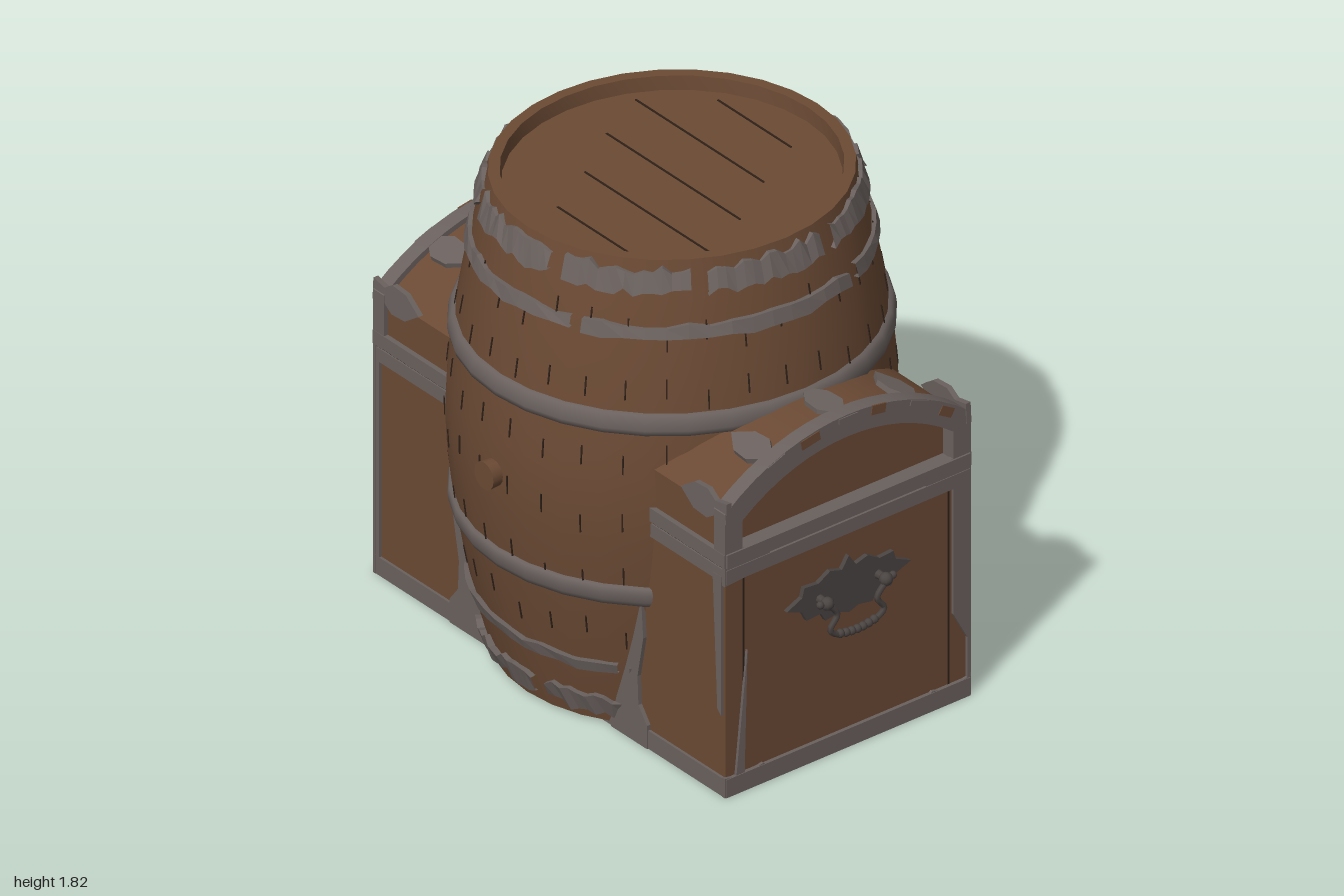
import * as THREE from 'three';
import { toCreasedNormals } from 'three/addons/utils/BufferGeometryUtils.js';

const V2 = (x, y) => new THREE.Vector2(x, y);
const mat = (name, color, side = THREE.FrontSide) => {
  const m = new THREE.MeshStandardMaterial({ color, side });
  m.name = name;
  return m;
};
// Seeded 0..1 value for the worn edges
const hash = (n) => { const s = Math.sin(n * 127.1 + 3.7) * 43758.5453; return s - Math.floor(s); };
// Bulging barrel radius at a height
const radius = (y) => 0.765 - 0.15 * Math.pow(Math.abs(y - 0.92) / 0.92, 1.6);

export function createModel() {
  const wood = mat('brown wood', 0x6b4a34);
  const iron = mat('grey iron', 0x6a615e, THREE.DoubleSide);
  const dark = mat('dark iron', 0x4a4442);
  const seam = mat('dark seam', 0x2e2018);

  const add = (parent, name, geo, material, x = 0, y = 0, z = 0) => {
    const m = new THREE.Mesh(geo, material);
    m.name = name;
    m.position.set(x, y, z);
    parent.add(m);
    return m;
  };
  const box = (parent, name, material, w, h, d, x, y, z) =>
    add(parent, name, new THREE.BoxGeometry(w, h, d), material, x, y, z);
  const plate = (points, depth) =>
    new THREE.ExtrudeGeometry(new THREE.Shape(points.map((p) => V2(...p))), { depth, bevelEnabled: false });

  const model = new THREE.Group();
  model.name = 'barrelAndChest';
  model.position.z = -0.015;

  // ---- Barrel: staves with a raised rim, slightly narrower across x
  const barrel = new THREE.Group();
  barrel.name = 'barrel';
  barrel.scale.x = 0.965;
  model.add(barrel);
  const side = [V2(0, 0.012), V2(0.56, 0.012)];
  for (let i = 0; i <= 14; i++) {
    const y = 0.012 + (1.808 * i) / 14;
    side.push(V2(radius(y), y));
  }
  side.push(V2(0.58, 1.82), V2(0.575, 1.765));
  add(barrel, 'staves', toCreasedNormals(new THREE.LatheGeometry(side, 32), 0.6), wood);
  add(barrel, 'barrelHead', new THREE.CylinderGeometry(0.585, 0.585, 0.02, 32), wood, 0, 1.757, 0);
  // Seams between the head boards
  [[-0.3, 0.1, -0.43], [-0.48, 0.22, -0.22], [-0.37, 0.36, -0.01], [-0.22, 0.49, 0.2], [-0.1, 0.42, 0.41]]
    .forEach(([a, b, z]) => box(barrel, 'headSeam', seam, b - a, 0.004, 0.007, (a + b) / 2, 1.768, z));
  // Broken seams between the staves
  for (let i = 0; i < 32; i++) {
    const a = ((i + 0.5) * Math.PI * 2) / 32;
    for (let k = 0; k < 6; k++) {
      const y = 0.38 + k * 0.23 + hash(i * 7 + k) * 0.08;
      const r = radius(y) + 0.0005;
      const s = box(barrel, 'staveSeam', seam, 0.005, 0.07, 0.004, Math.sin(a) * r, y, Math.cos(a) * r);
      s.rotation.order = 'YXZ';
      s.rotation.set(-Math.atan((radius(y - 0.03) - radius(y + 0.03)) / 0.06), a, 0);
    }
  }
  // Sound hoops
  for (const y of [0.58, 1.25]) {
    const prof = [[-0.04, -0.005], [-0.036, 0.012], [-0.015, 0.02], [0.015, 0.02], [0.036, 0.012], [0.04, -0.005]]
      .map(([dy, dr]) => V2(radius(y + dy) + dr, y + dy));
    add(barrel, 'hoop', new THREE.LatheGeometry(prof, 32), iron);
  }
  // Worn hoops: separate arcs with ragged edges
  const wornHoop = (y, h, wear, arcs, start, gap) => {
    for (let a = 0; a < arcs; a++) {
      const step = (Math.PI * 2) / arcs;
      const prof = [[-0.5, -0.01], [-0.5, 0.016], [0.5, 0.016], [0.5, -0.01]]
        .map(([t, dr]) => V2(radius(y + t * h) + dr, y + t * h));
      const geo = new THREE.LatheGeometry(prof, 14, start + a * step, step - gap);
      const p = geo.attributes.position;
      for (let i = 0; i < p.count; i++) {
        const col = Math.floor(i / 4), low = i % 4 < 2;
        p.setY(i, p.getY(i) + (low ? 1 : -1) * wear * hash(col * 2 + a * 31 + y * 50 + (low ? 1 : 0)));
      }
      const flat = geo.toNonIndexed();
      flat.computeVertexNormals();
      add(barrel, 'wornHoop', flat, iron);
    }
  };
  wornHoop(1.75, 0.11, 0.035, 8, 0.31, 0.09);
  wornHoop(1.575, 0.065, 0.02, 4, 0.45, 0.06);
  wornHoop(0.26, 0.06, 0.02, 4, 0.7, 0.06);
  wornHoop(0.085, 0.1, 0.035, 8, 0.2, 0.09);
  // Bung
  const bung = add(barrel, 'bung', new THREE.CylinderGeometry(0.052, 0.048, 0.07, 16), wood, 0, 0.92, 0.767);
  bung.rotation.x = Math.PI / 2;

  // ---- Chest running through the barrel
  const chest = new THREE.Group();
  chest.name = 'chest';
  model.add(chest);
  box(chest, 'chestBody', wood, 1.83, 0.88, 1.026, 0, 0.444, 0);

  // Arched outline in z and y
  const arch = (half, bottom, spring, top) => {
    const sag = top - spring, R = (half * half + sag * sag) / (2 * sag);
    const pts = [[-half, bottom]];
    for (let i = 0; i <= 16; i++) {
      const z = -half + (2 * half * i) / 16;
      pts.push([z, top - R + Math.sqrt(R * R - z * z)]);
    }
    pts.push([half, bottom]);
    return pts;
  };
  const lidGeo = plate(arch(0.508, 0.87, 1.085, 1.27), 1.74);
  lidGeo.translate(0, 0, -0.87).rotateY(Math.PI / 2);
  add(chest, 'lid', toCreasedNormals(lidGeo, 0.5), wood);

  // Iron straps round the foot and the lid joint
  for (const [y, h, out] of [[0.035, 0.07, 0], [0.855, 0.052, 0], [0.917, 0.052, 0.004]]) {
    for (const s of [-1, 1]) {
      box(chest, 'longStrap', iron, 1.85, h, 0.03, 0, y, s * (0.508 + out));
      box(chest, 'endStrap', iron, 0.03, h, 1.04, s * (0.914 + out), y, 0);
    }
  }
  box(chest, 'jointShadow', seam, 1.84, 0.014, 1.035, 0, 0.886, 0);

  // Fittings of one end, facing +x
  const buildEnd = (turn) => {
    const end = new THREE.Group();
    end.name = 'chestEnd';
    end.rotation.y = turn;
    chest.add(end);
    // Arched lid band with an open middle
    const outline = new THREE.Shape(arch(0.525, 0.89, 1.1, 1.29).map((p) => V2(...p)));
    outline.holes.push(new THREE.Path(arch(0.45, 0.94, 1.05, 1.205).map((p) => V2(...p)).reverse()));
    const band = new THREE.ExtrudeGeometry(outline, { depth: 0.058, bevelEnabled: false });
    band.rotateY(Math.PI / 2).translate(0.868, 0, 0);
    add(end, 'lidBand', toCreasedNormals(band, 0.5), iron);
    // Bare wood showing through the band
    for (const [z, w, y] of [[0.16, 0.08, 1.25], [-0.13, 0.06, 1.262], [-0.42, 0.06, 1.14]]) {
      const t = Math.asin(z / 0.83);
      box(end, 'wornPatch', wood, 0.006, 0.035, w, 0.926, y, z).rotation.x = t;
    }
    // Leaf shaped fittings lying on the lid
    const leafPts = [[0.93, -0.04], [0.93, 0.04], [0.87, 0.028], [0.83, 0.055], [0.76, 0.05], [0.69, 0],
      [0.76, -0.05], [0.83, -0.055], [0.87, -0.028]];
    const leaf = (y, z, tilt) => {
      add(end, 'lidLeaf', plate(leafPts, 0.02), iron, 0, y, z).rotation.x = tilt;
    };
    leaf(1.1, 0.502, -0.05);
    leaf(1.1, -0.502, Math.PI + 0.05);
    for (const z of [-0.3, 0, 0.3]) leaf(1.265 - (z * z) / 1.62, z, -Math.PI / 2 + Math.asin(z / 0.83));
    // Corner irons on the end face, given as [z, y]
    const onEnd = (name, pts) => {
      const g = plate(pts.map(([z, y]) => [-z, y]), 0.014);
      g.rotateY(Math.PI / 2).translate(0.912, 0, 0);
      add(end, name, g, iron);
    };
    onEnd('cornerIron', [[-0.525, 0.85], [-0.525, 0.07], [-0.515, 0.22], [-0.45, 0.34], [-0.45, 0.85]]);
    onEnd('cornerSpike', [[0.475, 0.07], [0.44, 0.07], [0.428, 0.54]]);
    for (const s of [-1, 1]) {
      onEnd('footLeaf', [[s * 0.525, 0], [s * 0.525, 0.075], [s * 0.43, 0.06], [s * 0.36, 0.075], [s * 0.3, 0.035], [s * 0.36, 0]]);
      onEnd('jointLeaf', [[s * 0.525, 0.82], [s * 0.525, 0.95], [s * 0.4, 0.94], [s * 0.33, 0.885], [s * 0.4, 0.83]]);
      box(end, 'postSeam', seam, 0.004, 0.76, 0.006, 0.9145, 0.45, s * 0.437);
      // Tapered irons where the barrel meets the chest
      const g = plate([[0.33, 0], [0.52, 0], [0.52, 0.09], [0.475, 0.15], [0.47, 0.26], [0.5, 0.42], [0.49, 0.56], [0.42, 0.4]], 0.018);
      add(end, 'barrelIron', g, iron, 0, 0, s > 0 ? 0.51 : -0.528);
    }
    // Irons on the long faces beside the corner
    add(end, 'frontIron', plate([[0.86, 0.85], [0.885, 0.33], [0.905, 0.31], [0.905, 0.85]], 0.014), iron, 0, 0, 0.51);
    box(end, 'backIron', iron, 0.03, 0.78, 0.012, 0.911, 0.45, -0.517);
    // Handle plate
    const half = [[0, 0.745], [0.03, 0.7], [0.08, 0.715], [0.13, 0.685], [0.19, 0.69], [0.2, 0.655], [0.265, 0.625],
      [0.2, 0.6], [0.18, 0.56], [0.12, 0.565], [0.1, 0.53], [0.04, 0.54]];
    const mirrored = half.slice(1).reverse().map(([z, y]) => [-z, y]);
    const hp = plate([...half, [0, 0.525], ...mirrored], 0.02);
    hp.rotateY(Math.PI / 2).translate(0.912, 0, 0);
    add(end, 'handlePlate', hp, dark);
    // Hanging handle with knobs
    for (const s of [-1, 1]) {
      const stem = add(end, 'handleStem', new THREE.CylinderGeometry(0.012, 0.018, 0.06, 8), dark, 0.95, 0.625, s * 0.125);
      stem.rotation.z = -Math.PI / 2;
      add(end, 'handleKnob', new THREE.SphereGeometry(0.024, 10, 8), dark, 0.972, 0.625, s * 0.125);
      add(end, 'handleEnd', new THREE.SphereGeometry(0.014, 8, 6), dark, 0.972, 0.63, s * 0.155);
    }
    const path = new THREE.CatmullRomCurve3([[0.62, 0.125], [0.57, 0.085], [0.52, 0.115], [0.495, 0.09], [0.482, 0],
      [0.495, -0.09], [0.52, -0.115], [0.57, -0.085], [0.62, -0.125]].map(([y, z]) => new THREE.Vector3(0.975, y, z)));
    add(end, 'handle', new THREE.TubeGeometry(path, 40, 0.011, 6), dark);
    for (let i = -3; i <= 3; i++)
      add(end, 'handleBead', new THREE.SphereGeometry(0.016, 8, 6), dark, 0.975, 0.482 + i * i * 0.001, i * 0.024);
  };
  buildEnd(0);
  buildEnd(Math.PI);
  return model;
}
